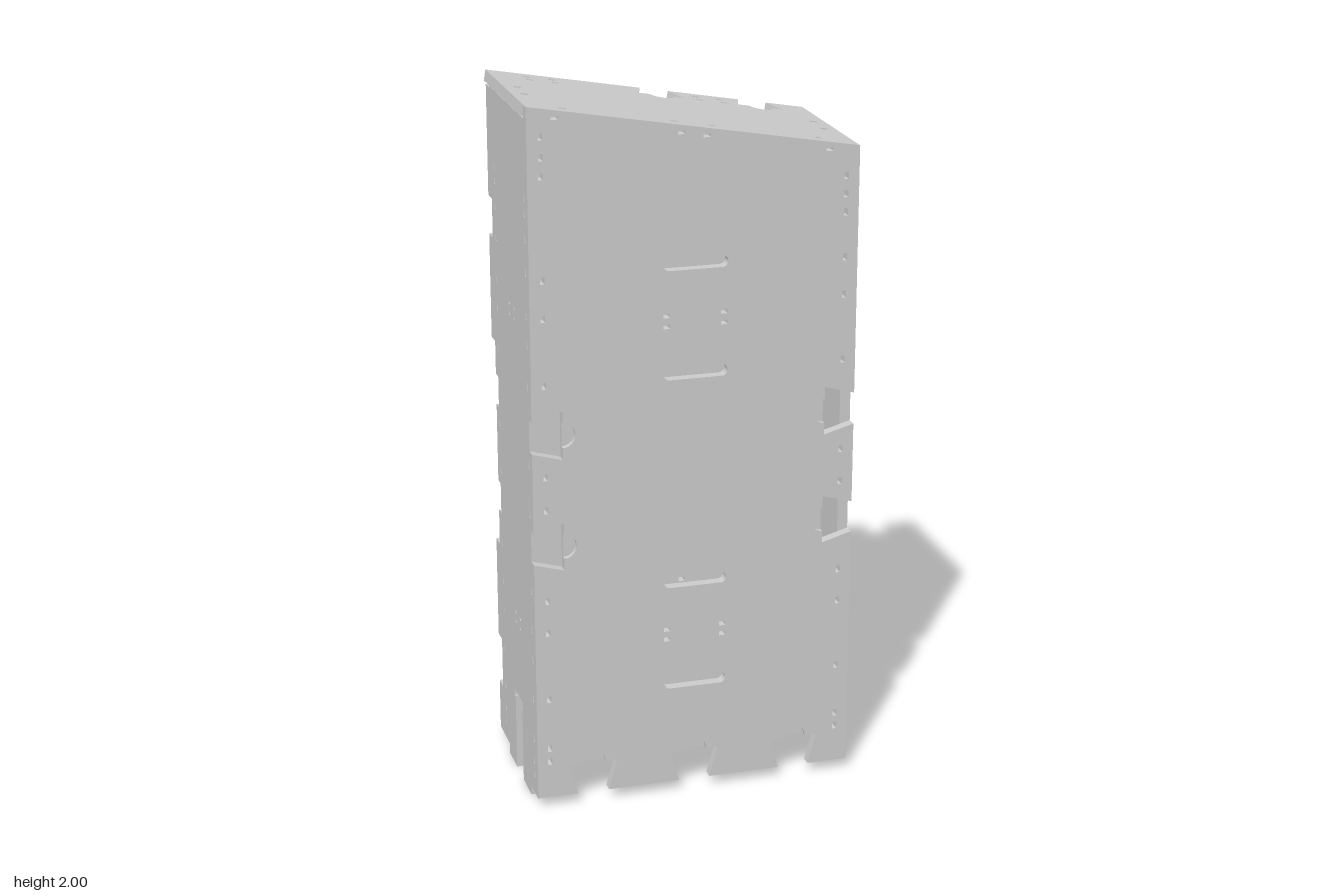
import * as THREE from 'three';

const T = 0.03;                       // sheet thickness
const W = 0.455;                      // half width
const SLOPE = 0.16 / 0.91;            // fall of the roof towards +x
const TILT = Math.atan(SLOPE);
const roofY = x => 1.92 - SLOPE * x;
const mat = new THREE.MeshStandardMaterial({ color: 0xcccccc, flatShading: true });

// dovetail notch with a round finger pocket, cut inward from a counter-clockwise edge
function dovetail(x, y, ex, ey, depth, mouth = 0.045, inner = 0.069, r = 0.035) {
  const at = (a, n) => new THREE.Vector2(x + ex * a - ey * n, y + ey * a + ex * n);
  const arc = [];
  for (let i = 0; i <= 14; i++) {
    const t = Math.PI * (1 - i / 14);
    arc.push(at(r * Math.cos(t), depth + r * Math.sin(t)));
  }
  return {
    points: [at(-mouth, 0), at(-inner, depth), ...arc, at(inner, depth), at(mouth, 0)],
    pocket: arc
  };
}

// rounded or square slot as a hole path
function slot(x, y, w, h, round = false) {
  const p = new THREE.Path(), a = w / 2, b = h / 2;
  if (round) {
    p.absarc(x + a - b, y, b, -Math.PI / 2, Math.PI / 2, false);
    p.absarc(x - a + b, y, b, Math.PI / 2, Math.PI * 1.5, false);
    p.closePath();
  } else {
    p.setFromPoints([[-a, -b], [a, -b], [a, b], [-a, b], [-a, -b]].map(q => new THREE.Vector2(x + q[0], y + q[1])));
  }
  return p;
}

function extrude(shape, depth, z, name) {
  const geo = new THREE.ExtrudeGeometry(shape, { depth, bevelEnabled: false, curveSegments: 8 });
  geo.translate(0, 0, z);
  const mesh = new THREE.Mesh(geo, mat);
  mesh.name = name;
  return mesh;
}

// sheet from an outline of [x, y] corners and dovetails; pockets get a floor of half thickness
function panel(name, outline, holes, pocketZ = 0) {
  const group = new THREE.Group();
  group.name = name;
  const pts = outline.flatMap(o => o.points ?? [new THREE.Vector2(o[0], o[1])]);
  const shape = new THREE.Shape(pts);
  shape.holes.push(...holes);
  group.add(extrude(shape, T, 0, name + 'Sheet'));
  for (const o of outline) {
    if (o.pocket) group.add(extrude(new THREE.Shape(o.pocket), T / 2, pocketZ, 'fingerPocketFloor'));
  }
  return group;
}

// outline shared by the front and the back
const faceOutline = drop => [
  [-W, 0.03],
  ...[-0.295, 0, 0.295].map(x => dovetail(x, 0.03, 1, 0, 0.09)),
  [W, 0.03],
  ...[0.78, 1.1].map(y => dovetail(W, y, 0, 1, 0.085)),
  [W, roofY(W) - drop], [-W, roofY(-W) - drop],
  ...[1.1, 0.78].map(y => dovetail(-W, y, 0, -1, 0.085))
];

// cable slots in a group of four
const fourSlots = (xs, w, h) => [1.41, 1.38, 0.5, 0.47].flatMap(y => xs.map(x => slot(x, y, w, h)));

// row of small slots along both vertical edges
function edgeSlots() {
  const common = [1.535, 1.43, 1.245, 0.985, 0.89, 0.625, 0.53, 0.33, 0.18, 0.14];
  return [
    ...[1.92, 1.865, 1.815, ...common].map(y => slot(-0.419, y, 0.012, 0.02)),
    ...[1.76, 1.71, 1.66, ...common].map(y => slot(0.419, y, 0.012, 0.02))
  ];
}

export function createModel() {
  const model = new THREE.Group();
  model.name = 'slottedCabinet';

  // front with long slots and roof fixing slots
  const front = panel('front', faceOutline(0), [
    ...edgeSlots(),
    ...fourSlots([-0.08, 0.08], 0.018, 0.012),
    ...[1.55, 1.245, 0.64, 0.335].map(y => slot(0, y, 0.18, 0.032, true)),
    ...[-0.38, -0.04, 0.03, 0.37].map(x => slot(x, roofY(x) - 0.02, 0.02, 0.01))
  ]);
  front.position.z = 0.21;
  model.add(front);

  // back, set in from the rear edge
  const back = panel('back', faceOutline(T / Math.cos(TILT)),
    [...edgeSlots(), ...fourSlots([-0.08, 0.08], 0.018, 0.012)], T / 2);
  back.position.z = -0.195;
  model.add(back);

  // sides with a foot, a tall bottom slot and rear tabs
  for (const s of [1, -1]) {
    const top = roofY(s * W) - T * (s > 0 ? 1 : 1.2);
    const ys = [1.75, 1.71, 1.64, 1.55, 1.43, 1.35, 1.235, 1.01, 0.87, 0.645, 0.53, 0.44, 0.32, 0.2, 0.13, 0.09];
    const side = panel(s > 0 ? 'leftSide' : 'rightSide', [
      [-0.21, 0.03], [-0.153, 0.03], [-0.153, 0], [-0.058, 0], [-0.058, 0.225], [-0.066, 0.225], [-0.066, 0.245],
      [0.035, 0.245], [0.035, 0.225], [0.027, 0.225], [0.027, 0], [0.12, 0], [0.12, 0.03], [0.165, 0.03],
      [0.165, top], [-0.21, top]
    ], [
      ...ys.flatMap(y => [slot(-0.202, y, 0.012, 0.02), slot(0.156, y, 0.012, 0.016)]),
      ...fourSlots([-0.053, 0.003], 0.016, 0.01)
    ]);
    side.rotation.y = Math.PI / 2;
    side.position.x = s > 0 ? W - T : -W;
    model.add(side);

    for (const [y0, y1] of [[0.03, 0.18], [0.33, 0.63], [1.24, 1.54], [1.65, s > 0 ? 1.81 : 1.96]]) {
      const tab = new THREE.Mesh(new THREE.BoxGeometry(T, y1 - y0, 0.045), mat);
      tab.name = 'rearTab';
      tab.position.set(s * (W - T / 2), (y0 + y1) / 2, -0.2175);
      model.add(tab);
    }
  }

  // sloping roof with two dovetail notches in the rear edge
  const L = W / Math.cos(TILT);
  const roof = panel('roof', [
    [-L, -0.21], [L, -0.21], [L, 0.24],
    ...[0.31, 0.02].map(x => dovetail(x, 0.24, -1, 0, 0.08, 0.041, 0.067, 0.033)),
    [-L, 0.24]
  ], [
    ...[-0.355, -0.285, 0.13, 0.2].flatMap(x => [0.2, 0.16].map(v => slot(x, v, 0.02, 0.012))),
    ...[-0.355, -0.05, 0.055, 0.355].map(x => slot(x, -0.2, 0.02, 0.011)),
    ...[-0.422, 0.422].flatMap(x => [0.03, -0.06].map(v => slot(x, v, 0.02, 0.016)))
  ]);
  roof.rotation.x = -Math.PI / 2;
  roof.position.y = -T;
  const roofTilt = new THREE.Group();
  roofTilt.name = 'slopingRoof';
  roofTilt.position.y = 1.92;
  roofTilt.rotation.z = -TILT;
  roofTilt.add(roof);
  model.add(roofTilt);

  return model;
}
